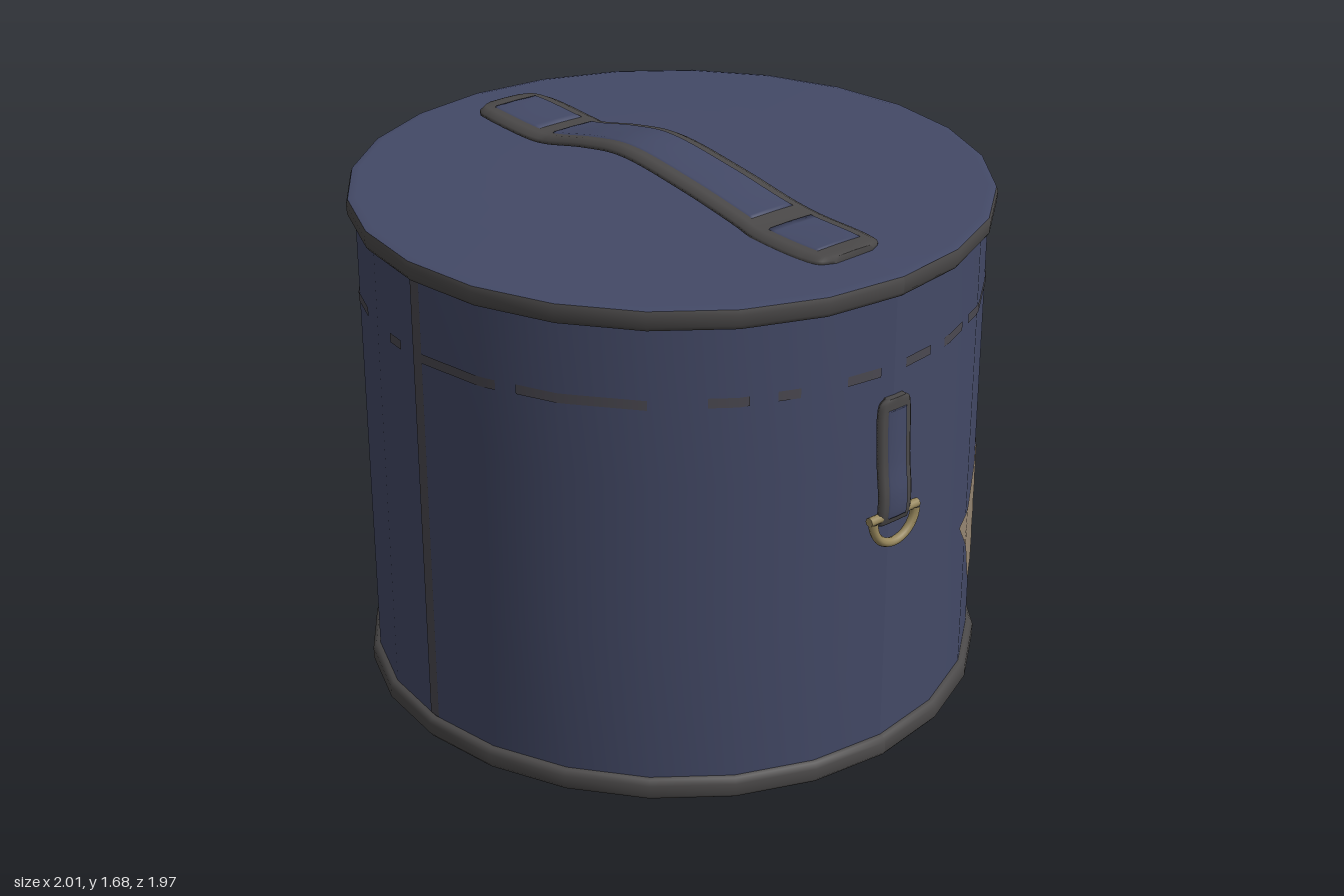
import * as THREE from 'three';

const mat = (name, color, side = THREE.FrontSide) => {
  const m = new THREE.MeshStandardMaterial({ color, side });
  m.name = name;
  return m;
};
const SIDES = 24, R = 0.945, CX = -0.035, DEG = Math.PI / 180;

export function createModel() {
  const navy = mat('navy leather', 0x434966);
  const trim = mat('dark trim', 0x4a4848);
  const stitch = mat('worn stitching', 0x4a4850, THREE.DoubleSide);
  const brass = mat('brass', 0x97875c);
  const paper = mat('paper label', 0x968672, THREE.DoubleSide);

  const model = new THREE.Group();
  model.name = 'roundCase';
  const add = (parent, name, geo, material, x = 0, y = 0, z = 0) => {
    const mesh = new THREE.Mesh(geo, material);
    mesh.name = name;
    mesh.position.set(x, y, z);
    parent.add(mesh);
    return mesh;
  };

  // Turned shape whose ends lean and sag a little, like an old soft case
  const turned = (name, profile, material) => {
    const geo = new THREE.LatheGeometry(profile.map(([r, y]) => new THREE.Vector2(r, y)), SIDES);
    const p = geo.attributes.position;
    for (let i = 0; i < p.count; i++) {
      const x = p.getX(i), y = p.getY(i), z = p.getZ(i), t = y / 1.6;
      const low = 0.012 * x + 0.012 * (x * x - z * z) + 0.004 * z;
      const high = 0.014 * x - 0.022 * z;
      p.setY(i, y + low * (1 - t) + high * t);
    }
    geo.computeVertexNormals();
    return add(model, name, geo, material, CX);
  };
  turned('base', [[0, 0.026], [0.5, 0.026], [0.945, 0.022]], navy);
  turned('wall', [[R, 0.05], [R, 0.55], [R, 1.05], [R, 1.55]], navy);
  turned('lid', [[0.965, 1.583], [0.94, 1.589], [0.5, 1.589], [0, 1.589]], navy);
  turned('bottomRim', [[0.94, 0.022], [0.958, 0.022], [0.968, 0.035], [0.968, 0.07], [0.958, 0.086], [0.94, 0.088]], trim);
  turned('topRim', [[0.94, 1.522], [0.958, 1.524], [0.968, 1.538], [0.97, 1.568], [0.965, 1.584]], trim);

  // Thin sheet that follows the many-sided wall; corners are [angle in degrees, height]
  const decal = (name, [tl, tr, br, bl], material, lift = 0.004) => {
    const across = Math.max(2, Math.ceil(Math.abs(tl[0] - br[0]) / 2));
    const geo = new THREE.PlaneGeometry(1, 1, across, 12);
    const p = geo.attributes.position, n = geo.attributes.normal, step = 360 / SIDES;
    const mix = (k, u, v) => THREE.MathUtils.lerp(
      THREE.MathUtils.lerp(bl[k], br[k], u), THREE.MathUtils.lerp(tl[k], tr[k], u), v);
    for (let i = 0; i < p.count; i++) {
      const u = p.getX(i) + 0.5, v = p.getY(i) + 0.5;
      const a = mix(0, u, v), y = mix(1, u, v);
      const local = ((a % step) + step) % step - step / 2;
      const r = R * Math.cos(step / 2 * DEG) / Math.cos(local * DEG) + lift;
      const c = Math.cos(a * DEG), s = Math.sin(a * DEG);
      p.setXYZ(i, r * c, y, r * s);
      n.setXYZ(i, c, 0, s);
    }
    return add(model, name, geo, material, CX);
  };
  const band = (name, a, b, y0, y1) => decal(name, [[b, y1], [a, y1], [a, y0], [b, y0]], stitch, 0.003);

  decal('paperLabel', [[64, 0.59], [17, 0.93], [9, 0.645], [50.5, 0.29]], paper);

  // Broken line of stitching around the wall, and the upright seam
  const dashes = [[39, 65], [18, 37], [13, 16], [-25, -9], [-49, -27], [-62, -58], [68, 76], [80, 87],
    [93, 100], [109, 113], [118, 125], [135, 158], [162, 180], [186, 190], [202, 226], [229, 252],
    [256, 268], [274, 277], [285, 294]];
  for (const [a, b] of dashes) {
    const y = 1.283 + 0.008 * Math.cos((a + b) / 2 * DEG);
    band('stitchDash', a, b, y - 0.015, y + 0.014);
  }
  band('uprightSeam', 179, 181.5, 0.09, 1.52);

  // Leather strap along z from stations [half width, height, z]
  const strap = (stations, thick, widthScale = 1, from = -9, to = 9) => {
    const curve = new THREE.CatmullRomCurve3(stations.map((s) => new THREE.Vector3(...s)), false, 'centripetal');
    const rows = curve.getPoints(90).filter((q) => q.z >= from && q.z <= to);
    const section = [[-1, 0], [-1, 0.55], [-0.82, 1], [0, 1.05], [0.82, 1], [1, 0.55], [1, 0]];
    const N = section.length, pos = [], idx = [];
    rows.forEach((q, i) => {
      for (const [sx, sy] of section) pos.push(sx * q.x * widthScale, q.y + sy * thick, q.z);
      if (i === 0) return;
      for (let j = 0; j < N; j++) {
        const a = (i - 1) * N + j, b = (i - 1) * N + (j + 1) % N;
        idx.push(a, a + N, b, a + N, b + N, b);
      }
    });
    const last = (rows.length - 1) * N;
    for (let k = 1; k < N - 1; k++) idx.push(0, k, k + 1, last, last + k + 1, last + k);
    const geo = new THREE.BufferGeometry();
    geo.setAttribute('position', new THREE.Float32BufferAttribute(pos, 3));
    geo.setIndex(idx);
    geo.computeVertexNormals();
    return geo;
  };

  // Carrying handle with dark edges and dark cross bands
  const handle = new THREE.Group();
  handle.name = 'handle';
  handle.position.x = -0.05;
  model.add(handle);
  const path = [[0.07, 1.608, -0.8], [0.115, 1.61, -0.775], [0.13, 1.611, -0.72], [0.13, 1.6, -0.5],
    [0.122, 1.602, -0.44], [0.12, 1.64, -0.25], [0.12, 1.66, -0.08], [0.12, 1.628, 0.2], [0.122, 1.588, 0.43],
    [0.13, 1.574, 0.52], [0.13, 1.568, 0.71], [0.115, 1.567, 0.765], [0.07, 1.566, 0.79]];
  add(handle, 'handleStrap', strap(path, 0.024), trim);
  for (const [a, b] of [[-0.745, -0.51], [-0.45, 0.46], [0.52, 0.735]]) {
    add(handle, 'handleFace', strap(path, 0.028, 0.74, a, b), navy);
  }

  // Tabs with half-round rings, front and back
  const tabPath = [[0.035, 0, -0.2], [0.055, 0, -0.185], [0.062, 0, -0.15], [0.062, 0.006, 0],
    [0.062, 0.016, 0.1], [0.062, 0.014, 0.16], [0.06, 0.006, 0.19]];
  for (const side of [0, 1]) {
    const g = new THREE.Group();
    g.name = side ? 'backRing' : 'frontRing';
    g.position.x = CX;
    g.rotation.y = side * Math.PI;
    model.add(g);
    add(g, 'tab', strap(tabPath, 0.02), trim, 0, 1, 0.943).rotation.x = Math.PI / 2;
    add(g, 'tabFace', strap(tabPath, 0.024, 0.66, -0.165, 0.17), navy, 0, 1, 0.943).rotation.x = Math.PI / 2;
    add(g, 'ringBow', new THREE.TorusGeometry(0.085, 0.014, 8, 18, Math.PI), brass, 0, 0.83, 0.967).rotation.z = Math.PI;
    add(g, 'ringBar', new THREE.CylinderGeometry(0.014, 0.014, 0.195, 8), brass, 0, 0.835, 0.962).rotation.z = Math.PI / 2;
  }

  // Latch on the +x side: plate, rounded lobes, knob and wire loop
  const latch = new THREE.Group();
  latch.name = 'latch';
  model.add(latch);
  add(latch, 'latchPlate', new THREE.BoxGeometry(0.03, 0.15, 0.17), brass, 0.915, 1.19);
  const lobe = (name, r, length, x, y, z) =>
    add(latch, name, new THREE.CapsuleGeometry(r, length, 6, 12), brass, x, y, z).scale.set(0.75, 1, 1);
  lobe('latchLever', 0.043, 0.135, 0.933, 1.19, 0);
  for (const s of [-1, 1]) lobe('latchCheek', 0.026, 0.145, 0.925, 1.195, s * 0.074);
  add(latch, 'knobBase', new THREE.CylinderGeometry(0.03, 0.036, 0.05, 12), brass, 0.925, 1.37).rotation.z = -Math.PI / 2;
  add(latch, 'knob', new THREE.SphereGeometry(0.048, 14, 10), brass, 0.957, 1.37).scale.set(0.9, 1, 1);
  const wire = [[1.2, -0.056], [1.3, -0.056], [1.39, -0.053], [1.428, -0.03], [1.433, 0], [1.428, 0.03],
    [1.39, 0.053], [1.3, 0.056], [1.2, 0.056]].map(([y, z]) => new THREE.Vector3(0.937, y, z));
  add(latch, 'wireLoop', new THREE.TubeGeometry(new THREE.CatmullRomCurve3(wire), 36, 0.011, 8), brass);

  return model;
}
